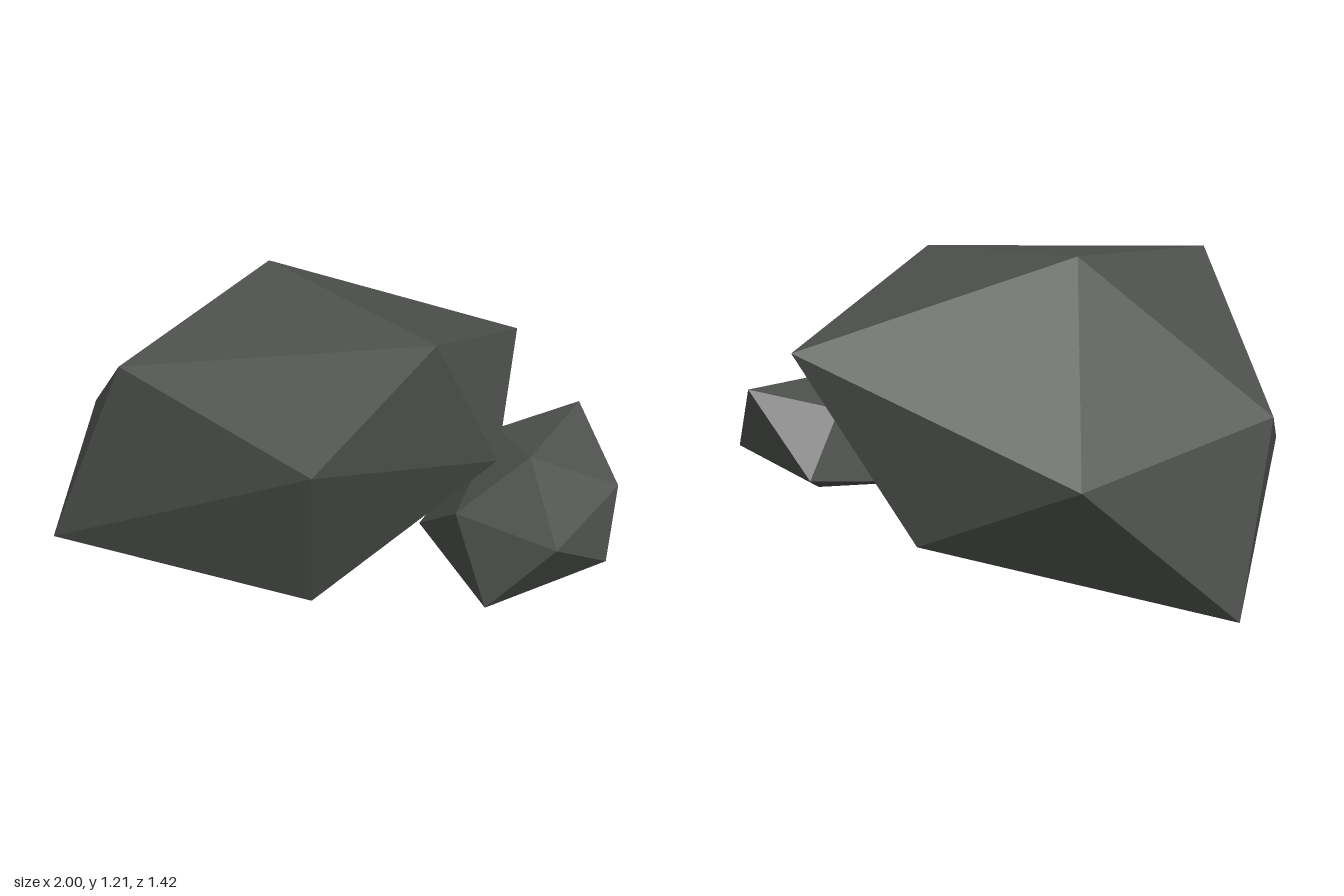
import * as THREE from 'three';

// Faceted stone: a 12-corner irregular icosahedron given as
// top, upper ring, lower ring (lower[i] sits between upper[i] and upper[i+1]), bottom.
function makeStone(name, material, { top, upper, lower, bottom }) {
  const corners = [];
  for (let i = 0; i < 5; i++) {
    const j = (i + 1) % 5;
    corners.push(top, upper[i], upper[j]);
    corners.push(upper[i], lower[i], upper[j]);
    corners.push(lower[i], lower[j], upper[j]);
    corners.push(bottom, lower[j], lower[i]);
  }
  const geometry = new THREE.BufferGeometry();
  geometry.setAttribute('position', new THREE.Float32BufferAttribute(corners.flat(), 3));
  geometry.computeVertexNormals(); // unshared corners give flat facets
  const mesh = new THREE.Mesh(geometry, material);
  mesh.name = name;
  return mesh;
}

export function createModel() {
  const group = new THREE.Group();
  group.name = 'rocks';
  const stone = new THREE.MeshStandardMaterial({ color: 0x4d504d });
  stone.name = 'darkStone';
  stone.flatShading = true;

  // Large boulder
  group.add(makeStone('largeRock', stone, {
    top: [-0.38, 1.21, -0.19],
    upper: [[-0.47, 1.1, 0.71], [0.42, 1.115, 0.135], [0.43, 0.89, -0.713], [-0.62, 0.55, -0.615], [-0.985, 0.655, 0.12]],
    lower: [[0.1, 0.69, 0.45], [0.575, 0.615, -0.1], [0.02, 0.225, -0.59], [-1, 0, -0.157], [-0.807, 0.385, 0.695]],
    bottom: [-0.02, 0.05, 0.213],
  }));

  // Small stone leaning against its side
  group.add(makeStone('smallRock', stone, {
    top: [0.69, 0.64, -0.127],
    upper: [[0.48, 0.455, 0.058], [0.893, 0.46, 0.18], [0.99, 0.545, -0.228], [0.73, 0.685, -0.587], [0.47, 0.6, -0.4]],
    lower: [[0.653, 0.185, 0.198], [1, 0.305, -0.095], [0.9, 0.405, -0.45], [0.44, 0.4, -0.625], [0.267, 0.275, -0.135]],
    bottom: [0.69, 0.21, -0.25],
  }));

  return group;
}
